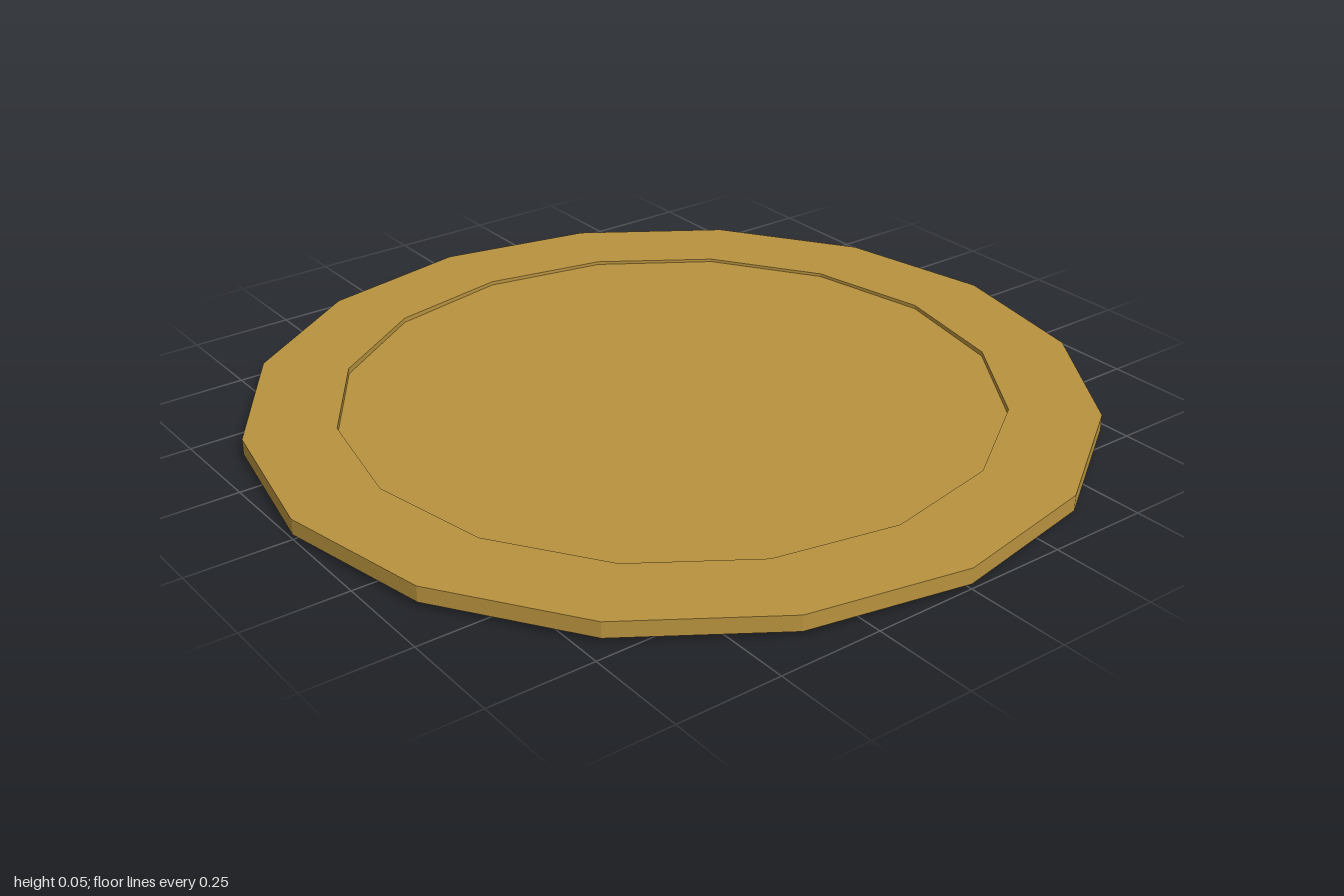
import * as THREE from 'three';

export function createModel() {
  const group = new THREE.Group();
  const SIDES = 16;
  const material = new THREE.MeshStandardMaterial({ color: 0xb8923e, flatShading: true });

  // Flat outer rim with a rectangular section
  const section = [[0.787, 0.05], [0.787, 0.012], [1, 0.012], [1, 0.05], [0.787, 0.05]];
  const rim = new THREE.Mesh(
    new THREE.LatheGeometry(section.map(([r, y]) => new THREE.Vector2(r, y)), SIDES),
    material
  );
  rim.name = 'rim';
  group.add(rim);

  // Sunken centre disc, very slightly tilted, just showing below the rim
  const thickness = 0.029;
  const disc = new THREE.Mesh(new THREE.CylinderGeometry(0.81, 0.81, thickness, SIDES), material);
  disc.name = 'centreDisc';
  disc.position.y = 0.007 + thickness / 2;
  disc.rotation.set(0.006, 0, 0.006);
  group.add(disc);

  return group;
}
